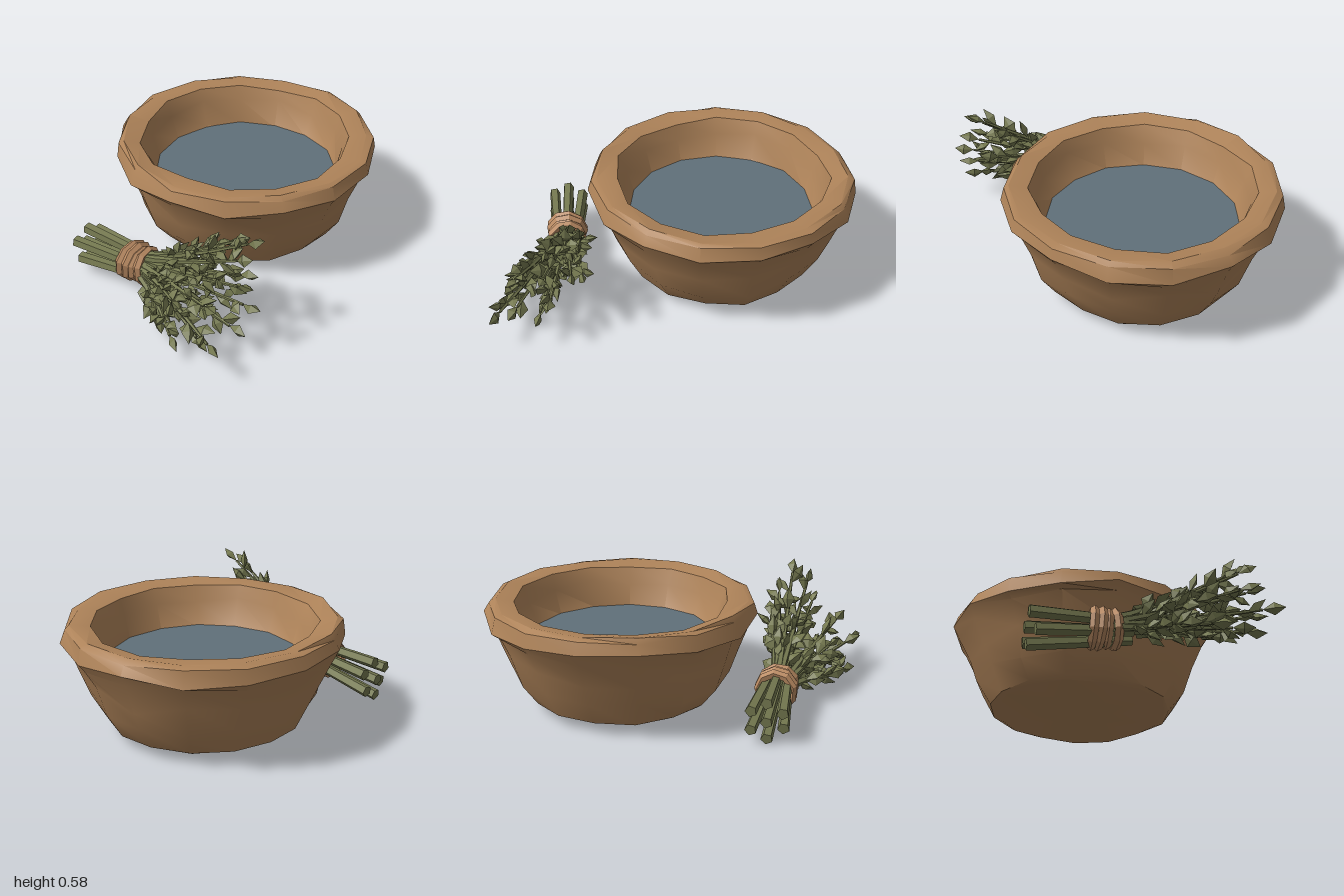
import * as THREE from 'three';
import { mergeGeometries, toCreasedNormals } from 'three/addons/utils/BufferGeometryUtils.js';

const V = (x, y, z) => new THREE.Vector3(x, y, z);

// Small seeded generator, returns -1..1
let seed = 7;
function rnd() {
  seed = (seed * 16807) % 2147483647;
  return (seed / 2147483647) * 2 - 1;
}

function material(name, color) {
  const m = new THREE.MeshStandardMaterial({ color });
  m.name = name;
  return m;
}

function add(group, name, geometry, mat) {
  const mesh = new THREE.Mesh(geometry, mat);
  mesh.name = name;
  group.add(mesh);
  return mesh;
}

// Lathe whose rings are nudged in radius and height, like hand-shaped clay
function clayLathe(profile, sides) {
  const geo = new THREE.LatheGeometry(profile.map(p => new THREE.Vector2(p[0], p[1])), sides);
  const pos = geo.attributes.position;
  const n = profile.length;
  const nudges = Array.from({ length: sides * n }, () => [rnd(), rnd()]);
  for (let i = 0; i < pos.count; i++) {
    const ring = i % n;
    const [dr, dy] = nudges[(Math.floor(i / n) % sides) * n + ring];
    const [, , kr, ky] = profile[ring];
    const s = 1 + dr * kr;
    pos.setXYZ(i, pos.getX(i) * s, pos.getY(i) + dy * ky, pos.getZ(i) * s);
  }
  geo.deleteAttribute('uv');
  geo.deleteAttribute('normal');
  return toCreasedNormals(geo, 0.6);
}

// Tapered, closed rod between two points
function rod(a, b, r0, r1, sides) {
  const dir = b.clone().sub(a);
  const geo = new THREE.CylinderGeometry(r1, r0, dir.length(), sides);
  geo.applyQuaternion(new THREE.Quaternion().setFromUnitVectors(V(0, 1, 0), dir.clone().normalize()));
  const mid = a.clone().add(b).multiplyScalar(0.5);
  geo.translate(mid.x, mid.y, mid.z);
  return toCreasedNormals(geo, 0.4);
}

// Pointed, ridged leaf growing from a point along a direction
function leaf(at, dir, length, width) {
  const geo = new THREE.OctahedronGeometry(1);
  geo.translate(0, 1, 0);
  const pos = geo.attributes.position;
  for (let i = 0; i < pos.count; i++) {
    const x = pos.getX(i), y = pos.getY(i), z = pos.getZ(i);
    const fold = Math.abs(x) * 0.01;
    pos.setXYZ(i, x * width, y * length / 2, z * 0.019 + fold);
  }
  const yAxis = dir.clone().normalize();
  const xAxis = V(rnd(), rnd(), rnd()).cross(yAxis).normalize();
  const zAxis = xAxis.clone().cross(yAxis);
  geo.applyMatrix4(new THREE.Matrix4().makeBasis(xAxis, yAxis, zAxis).setPosition(at));
  geo.computeVertexNormals();
  return geo;
}

export function createModel() {
  seed = 7;
  const model = new THREE.Group();
  model.name = 'bowlAndHerbs';
  const clay = material('clay', 0xae8359);
  const water = material('water', 0x60707a);
  const green = material('herbGreen', 0x757950);
  const twine = material('twine', 0xb98a62);

  // Bowl: radius, height, radius wobble, height wobble
  const bowl = new THREE.Group();
  bowl.name = 'bowl';
  bowl.position.set(0.05, 0, -0.335);
  add(bowl, 'bowlBody', clayLathe([
    [0, 0.012, 0, 0],
    [0.435, 0.014, 0.025, 0.004],
    [0.46, 0.028, 0.02, 0.005],
    [0.535, 0.14, 0.015, 0.025],
    [0.58, 0.27, 0.012, 0.03],
    [0.638, 0.395, 0.012, 0.015],
    [0.668, 0.435, 0.012, 0.018],
    [0.652, 0.5, 0.012, 0.012],
    [0.62, 0.517, 0.018, 0.006],
    [0.535, 0.503, 0.025, 0.01],
    [0.505, 0.43, 0.02, 0.02],
    [0.465, 0.3, 0.015, 0.01],
    [0.4, 0.24, 0, 0],
    [0, 0.23, 0, 0],
  ], 15), clay);

  // Water surface
  const surface = add(bowl, 'waterSurface', new THREE.CircleGeometry(0.478, 30), water);
  surface.rotation.x = -Math.PI / 2;
  surface.position.y = 0.305;
  model.add(bowl);

  // Herb bundle, tied at one point along a slanting axis
  const herbs = new THREE.Group();
  herbs.name = 'herbBundle';
  const knot = V(-0.37, 0.12, 0.335);
  const axis = V(0.88, 0.03, 0.47).normalize();
  const side = V(0, 1, 0).cross(axis).normalize();
  const up = axis.clone().cross(side);
  const offset = (angle, r) => side.clone().multiplyScalar(Math.cos(angle) * r)
    .addScaledVector(up, Math.sin(angle) * r);

  // Cut stem ends splaying out behind the tie
  const stems = [];
  for (let i = 0; i < 7; i++) {
    const angle = i * Math.PI / 3 + 0.5;
    const r = i === 6 ? 0 : 1;
    const tail = knot.clone().addScaledVector(axis, -0.335 + rnd() * 0.03).add(offset(angle, 0.086 * r));
    tail.y -= 0.02;
    const head = knot.clone().addScaledVector(axis, 0.13).add(offset(angle, 0.048 * r));
    stems.push(rod(tail, head, 0.029, 0.024, 5));
  }
  add(herbs, 'cutStems', mergeGeometries(stems), green);

  // Leafy sprigs fanning out in front of the tie
  const tips = [
    [0.28, 0.55, 0.66], [0.2, 0.48, 0.55], [0.24, 0.5, 0.74], [0.25, 0.37, 0.78],
    [0.28, 0.24, 0.76], [0.13, 0.15, 0.99], [0.25, 0.32, 0.62], [0.06, 0.07, 0.87],
    [-0.08, 0.05, 0.87], [-0.17, 0.06, 0.77], [0.1, 0.39, 0.46], [0.22, 0.12, 0.8],
    [0.1, 0.3, 0.88], [0.07, 0.3, 0.64], [0.18, 0.24, 0.52], [-0.08, 0.22, 0.78],
    [0.1, 0.1, 0.68],
  ];
  const sprigs = [], leaves = [];
  for (const [x, y, z] of tips) {
    const tip = V(x, y, z);
    const toTip = tip.clone().sub(knot).normalize();
    const spread = toTip.clone().addScaledVector(axis, -toTip.dot(axis)).multiplyScalar(0.09);
    const start = knot.clone().add(spread);
    const end = tip.clone().addScaledVector(toTip, -0.1);
    const bend = start.clone().addScaledVector(axis, 0.2).lerp(start.clone().lerp(end, 0.4), 0.5);
    const curve = new THREE.QuadraticBezierCurve3(start, bend, end);
    for (let k = 0; k < 4; k++) {
      sprigs.push(rod(curve.getPoint(k / 4), curve.getPoint((k + 1) / 4),
        0.021 - k * 0.0035, 0.0175 - k * 0.0035, 5));
    }
    // Leaves turn steadily round each sprig
    const count = 9;
    const turn = rnd() * Math.PI;
    for (let k = 0; k < count; k++) {
      const t = 0.36 + 0.64 * k / count;
      const tangent = curve.getTangent(t);
      const out = up.clone().cross(tangent).normalize().applyAxisAngle(tangent, turn + k * 2.4);
      const dir = tangent.clone().addScaledVector(out, 0.75 + rnd() * 0.15).normalize();
      const at = curve.getPoint(t);
      const length = 0.108 + rnd() * 0.012;
      if (at.y + dir.y * length < 0.025) dir.y = Math.abs(dir.y) * 0.3;
      leaves.push(leaf(at, dir, length, 0.031 + rnd() * 0.004));
    }
    leaves.push(leaf(end, toTip, 0.105, 0.03));
  }
  add(herbs, 'sprigs', mergeGeometries(sprigs), green);
  add(herbs, 'leaves', mergeGeometries(leaves), green);

  // Twine wound round the stems
  for (let i = 0; i < 4; i++) {
    const ring = toCreasedNormals(new THREE.TorusGeometry(0.082 + rnd() * 0.006, 0.022, 5, 9), 0.4);
    const loop = add(herbs, 'twineLoop', ring, twine);
    const tilt = axis.clone().addScaledVector(side, rnd() * 0.15).addScaledVector(up, rnd() * 0.15).normalize();
    loop.quaternion.setFromUnitVectors(V(0, 0, 1), tilt);
    loop.position.copy(knot).addScaledVector(axis, (i - 1.5) * 0.034);
  }
  model.add(herbs);
  return model;
}
